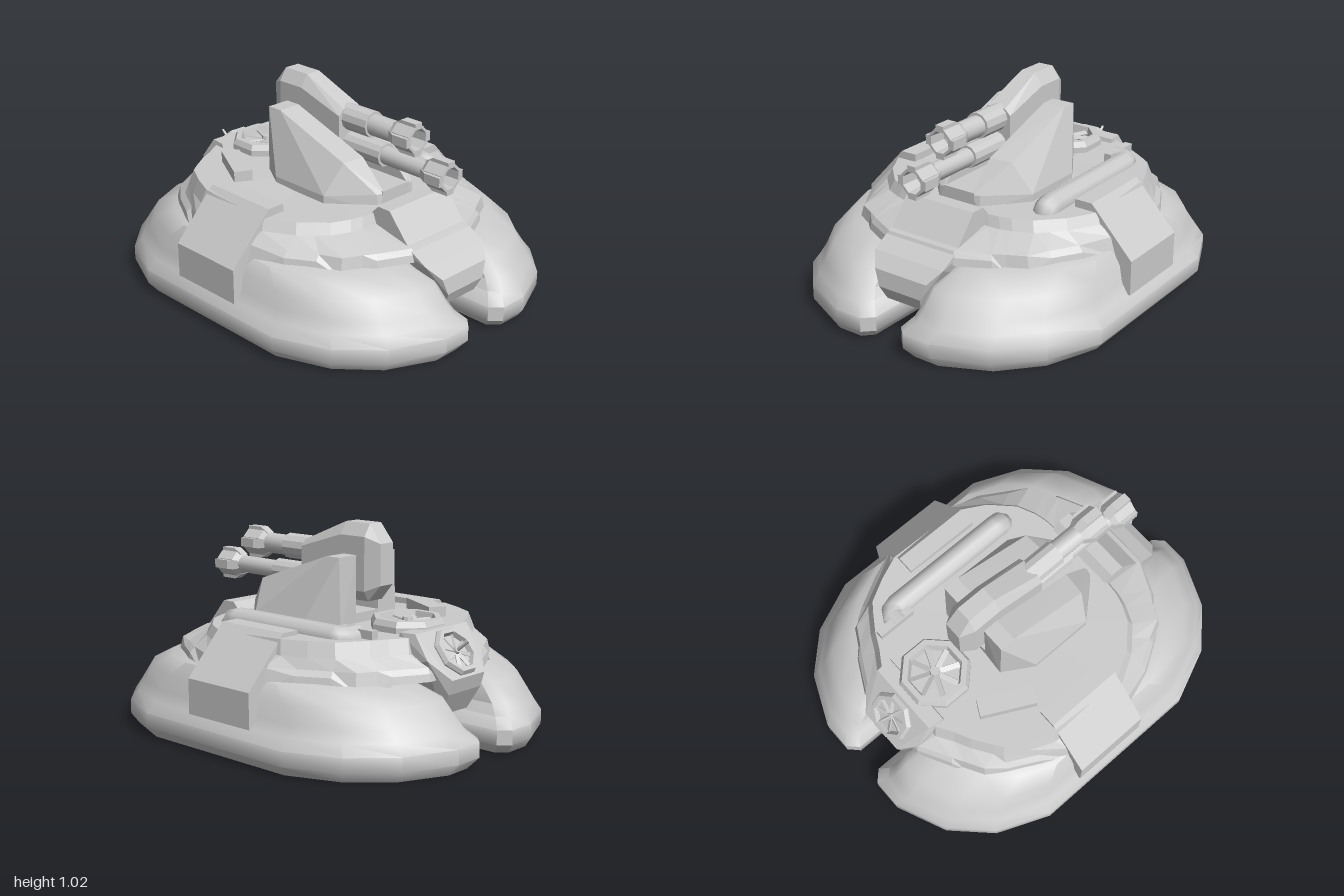
import * as THREE from 'three';
import { toCreasedNormals } from 'three/addons/utils/BufferGeometryUtils.js';
import { ConvexGeometry } from 'three/addons/geometries/ConvexGeometry.js';

const smooth = new THREE.MeshStandardMaterial({ color: 0xcccccc });
const flat = new THREE.MeshStandardMaterial({ color: 0xcccccc, flatShading: true });

function add(parent, name, geometry, x = 0, y = 0, z = 0, material = flat) {
  const mesh = new THREE.Mesh(geometry, material);
  mesh.name = name;
  mesh.position.set(x, y, z);
  parent.add(mesh);
  return mesh;
}

// Closed skin over rings of [x, y, z], listed from bottom to top
function loft(rings) {
  const n = rings[0].length, index = [];
  const points = rings.flat();
  for (let r = 0; r < rings.length - 1; r++) {
    for (let i = 0; i < n; i++) {
      const j = (i + 1) % n, a = r * n + i, b = r * n + j;
      index.push(a, b, a + n, b, b + n, a + n);
    }
  }
  for (const [r, top] of [[0, false], [rings.length - 1, true]]) {
    const mid = [0, 1, 2].map(k => rings[r].reduce((s, p) => s + p[k], 0) / n);
    const c = points.push(mid) - 1;
    for (let i = 0; i < n; i++) {
      const a = r * n + i, b = r * n + (i + 1) % n;
      index.push(...(top ? [a, b, c] : [b, a, c]));
    }
  }
  const g = new THREE.BufferGeometry();
  g.setAttribute('position', new THREE.Float32BufferAttribute(points.flat(), 3));
  g.setIndex(index);
  g.computeVertexNormals();
  return g;
}

// Faceted solid, symmetric in x, from its corners [x, y, z] on one side
function mirroredHull(corners) {
  return new ConvexGeometry(corners.flatMap(([x, y, z]) =>
    [new THREE.Vector3(x, y, z), new THREE.Vector3(-x, y, z)]));
}

// Side profile [z, y] extruded along x
function profileX(points, width) {
  const shape = new THREE.Shape(points.map(p => new THREE.Vector2(...p)));
  return new THREE.ExtrudeGeometry(shape, { depth: width, bevelEnabled: false })
    .translate(0, 0, -width / 2).rotateY(-Math.PI / 2);
}

function pontoon(side) {
  const outline = [[1, .45], [1, -.45], [.85, -.71], [.61, -.89], [.27, -1], [.07, -1],
    [0, -.95], [0, .95], [.07, 1], [.27, 1], [.61, .89], [.85, .71]];
  // y, inner x, outer x, half length
  const levels = [[0, .115, .775, .96], [.05, .075, .815, 1], [.12, .075, .815, 1], [.17, .12, .775, .955],
    [.22, .14, .745, .92], [.3, .15, .73, .85], [.37, .2, .69, .68], [.39, .28, .6, .5]];
  const rings = levels.map(([y, a, b, len]) => {
    const ring = outline.map(([u, v]) => [side * (a + (b - a) * u), y, v * len]);
    return side > 0 ? ring : ring.reverse();
  });
  return toCreasedNormals(loft(rings), .76);
}

function hull() {
  // rim x, rim z, skirt bottom y, deck x, deck z, deck y
  const front = [[.2, .73, .37, .2, .47, .53], [.36, .655, .37, .26, .465, .53], [.42, .62, .31, .32, .45, .53],
    [.51, .575, .31, .41, .41, .53], [.56, .47, .37, .46, .36, .53], [.64, .34, .37, .52, .3, .53], [.72, .16, .3, .6, .16, .53]];
  const rear = [[.72, -.22, .3, .6, -.24, .55], [.64, -.36, .37, .55, -.36, .55], [.56, -.51, .37, .49, -.47, .55],
    [.51, -.61, .31, .45, -.5, .55], [.42, -.66, .31, .36, -.56, .55], [.36, -.695, .37, .28, -.6, .55], [.2, -.78, .37, .2, -.65, .55]];
  const half = [...front, ...rear];
  const ring = f => {
    const r = half.map(f);
    return [...r, ...r.map(([x, y, z]) => [-x, y, z]).reverse()];
  };
  return loft([
    ring(([x, z]) => [x * .85, .35, z * .85]),
    ring(([x, z, b]) => [x * .96, b, z * .96]),
    ring(([x, z, b]) => [x, b, z]),
    ring(([x, z, b]) => [x * .99, b + .035, z * .99]),
    ring(([x, z]) => [x * .95, .43, z * .97]),
    ring(([x, z, b, dx, dz]) => [dx + .02, .48, dz + Math.sign(dz) * .02]),
    ring(([x, z, b, dx, dz, dy]) => [dx, dy, dz]),
  ]);
}

// Octagonal duct with a sunken rotor, facing +y
function fan(name, radius) {
  const g = new THREE.Group();
  g.name = name;
  const duct = [[1, -.35], [1, 0], [.92, .15], [.76, .15], [.7, -.1], [0, -.1]]
    .map(([r, y]) => new THREE.Vector2(r * radius, y * radius));
  add(g, 'fanDuct', new THREE.LatheGeometry(duct, 8, Math.PI / 8));
  add(g, 'fanHub', new THREE.CylinderGeometry(radius * .13, radius * .17, radius * .25, 8));
  for (let i = 0; i < 8; i++) {
    const blade = new THREE.BoxGeometry(radius * .58, radius * .04, radius * .15)
      .rotateX(.4).translate(radius * .4, 0, 0).rotateY((i + .5) * Math.PI / 4);
    add(g, 'fanBlade', blade);
  }
  return g;
}

// Barrel along +z from z = 0, with a hollow pronged muzzle
function cannon(name, length, radius) {
  const g = new THREE.Group();
  g.name = name;
  const tube = (r, z0, z1) => new THREE.CylinderGeometry(r, r, z1 - z0, 12)
    .rotateX(Math.PI / 2).translate(0, 0, (z0 + z1) / 2);
  add(g, 'barrel', toCreasedNormals(tube(radius, 0, length - .1), .7), 0, 0, 0, smooth);
  add(g, 'barrelSleeve', tube(radius + .012, 0, length * .4));
  const profile = [[radius, 0], [.068, .03], [.068, .14], [.054, .14], [.05, .05], [0, .04]]
    .map(p => new THREE.Vector2(...p));
  add(g, 'muzzle', new THREE.LatheGeometry(profile, 8, Math.PI / 8).rotateX(Math.PI / 2).scale(1, 1, 1), 0, 0, length - .14);
  for (let i = 0; i < 4; i++) {
    const prong = profileX([[0, .05], [.05, .08], [.14, .08], [.14, .055]], .045).rotateZ(i * Math.PI / 2);
    add(g, 'muzzleProng', prong, 0, 0, length - .14);
  }
  return g;
}

export function createModel() {
  const model = new THREE.Group();
  model.name = 'hoverTank';

  // Body
  add(model, 'hull', hull());
  add(model, 'keel', new THREE.BoxGeometry(.3, .22, 1.4), 0, .29, 0);
  add(model, 'noseBlock', profileX([[.4, .4], [.72, .4], [.68, .44], [.57, .57], [.5, .57], [.46, .53], [.4, .53]], .39));
  add(model, 'nosePlate', mirroredHull([[.2, .43, .5], [.2, .43, .69], [.2, .37, .8], [.15, .31, .86],
    [.12, .23, .87], [.1, .165, .84], [.15, .22, .5], [.1, .165, .55]]));
  add(model, 'tailBlock', mirroredHull([[.2, .57, -.6], [.19, .57, -.68], [.2, .46, -.76], [.12, .37, -.84],
    [.12, .3, -.82], [.1, .19, -.76], [.2, .4, -.55], [.12, .19, -.55]]));

  for (const side of [1, -1]) {
    const s = side > 0 ? 'left' : 'right';
    add(model, s + 'Pontoon', pontoon(side), 0, 0, 0, smooth);

    // Folded armour plate over the flank
    const plate = new THREE.Shape([[.48, .5], [.48, .57], [.57, .57], [.79, .335], [.79, .165], [.74, .165], [.72, .3]]
      .map(([x, y]) => new THREE.Vector2(side * x, y)));
    add(model, s + 'SidePlate', new THREE.ExtrudeGeometry(plate, { depth: .4, bevelEnabled: false }), 0, 0, -.23);

    // Sloping turret shield
    const shield = [[.08, .87, -.15], [.2, .87, -.15], [.08, .87, -.23], [.2, .87, -.23], [.2, .72, .28],
      [.08, .72, .29], [.08, .64, .34], [.08, .58, .43], [.12, .58, .42], [.29, .57, -.09], [.29, .57, .24],
      [.29, .5, -.09], [.29, .5, .24], [.2, .5, -.24], [.12, .5, .43], [.08, .5, .43], [.08, .5, -.23]];
    add(model, s + 'TurretShield', new ConvexGeometry(shield.map(([x, y, z]) => new THREE.Vector3(side * x, y, z))));
  }

  // Gun housing and stacked cannons
  add(model, 'turretFloor', new THREE.BoxGeometry(.18, .1, .66), 0, .54, .1);
  add(model, 'gunHousing', mirroredHull([[.05, .91, .13], [.08, .88, .13], [.05, .93, .05], [.04, 1.02, -.13],
    [.08, .96, -.13], [.04, 1.02, -.28], [.08, .96, -.28], [.045, .93, -.35], [.045, .73, -.35],
    [.08, .7, -.28], [.05, .65, -.28], [.08, .69, .13], [.05, .65, .13]]));
  const upper = cannon('upperCannon', .46, .052), lower = cannon('lowerCannon', .66, .045);
  upper.position.set(0, .86, .1);
  lower.position.set(0, .73, .1);
  model.add(upper, lower);

  // Deck and tail fans
  const deckFan = fan('deckFan', .18), tailFan = fan('tailFan', .125);
  deckFan.position.set(0, .575, -.48);
  tailFan.position.set(0, .475, -.765);
  tailFan.rotation.x = -.9;
  model.add(deckFan, tailFan);
  add(tailFan, 'tailFanSpike', new THREE.CylinderGeometry(.006, .01, .1, 6), 0, .04, 0);

  // Exhaust pipe with an inward bend at the back and a downward bend at the front
  const path = new THREE.CurvePath();
  const stops = [[.31, .54, -.44], [.37, .54, -.44], [.395, .54, -.41], [.395, .54, .26], [.395, .52, .29], [.395, .4, .3]]
    .map(p => new THREE.Vector3(...p));
  for (let i = 1; i < stops.length; i++) path.add(new THREE.LineCurve3(stops[i - 1], stops[i]));
  add(model, 'exhaustPipe', new THREE.TubeGeometry(path, 48, .062, 10, false), 0, 0, 0, smooth);
  add(model, 'pipeFlange', new THREE.BoxGeometry(.04, .12, .2), .325, .53, -.46);

  // Angled deck box
  add(model, 'deckBox', new THREE.BoxGeometry(.09, .08, .28), -.34, .56, -.32).rotation.y = -.48;
  return model;
}
